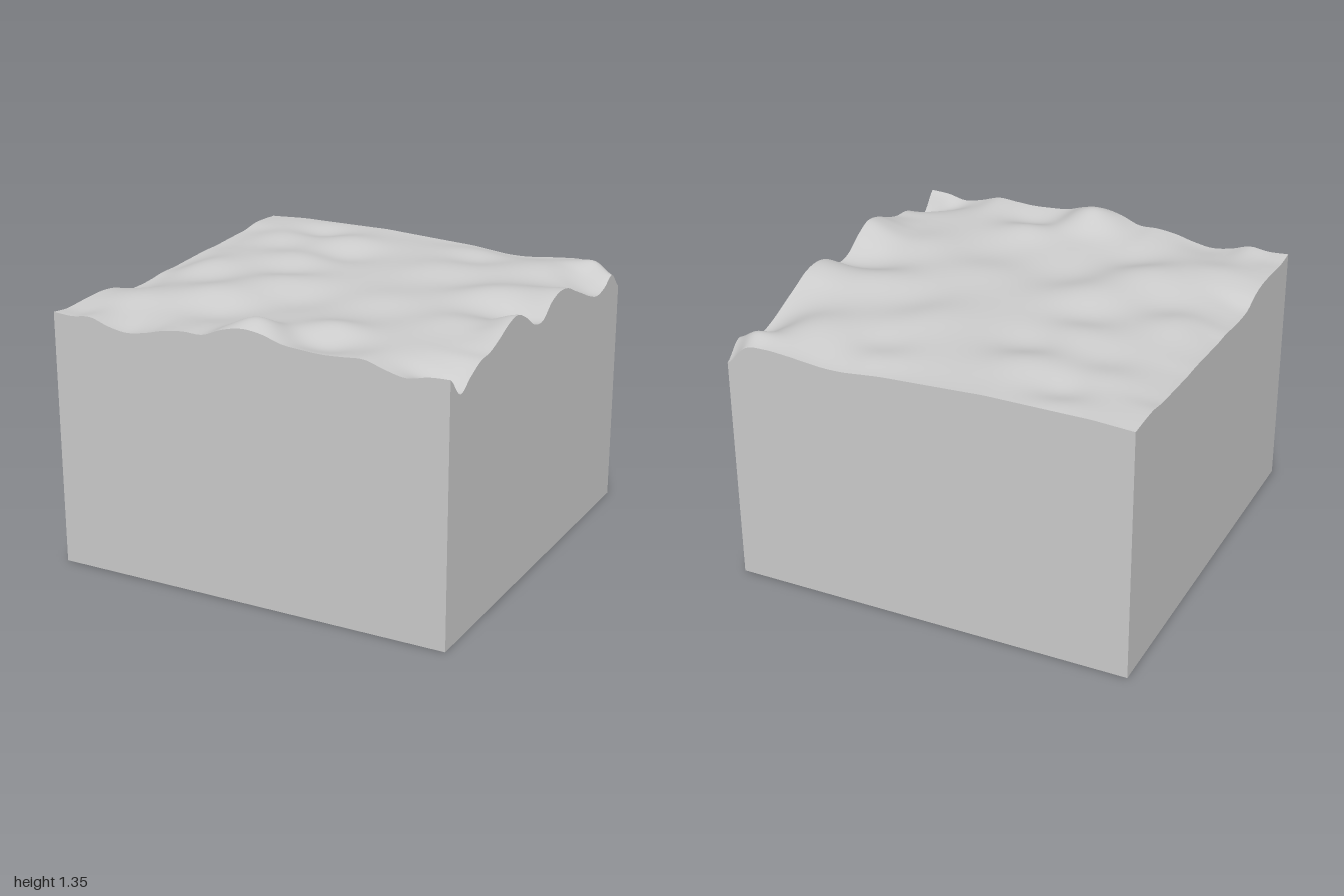
import * as THREE from 'three';

// Heights along the four top edges, every 0.1 from -1 to 1
const RIGHT = [1.13, 1.21, 1.17, 1.155, 1.18, 1.22, 1.26, 1.3, 1.31, 1.285, 1.225,
  1.235, 1.295, 1.335, 1.32, 1.28, 1.25, 1.24, 1.2, 1.155, 1.25];
const LEFT = [1.25, 1.255, 1.255, 1.24, 1.235, 1.23, 1.225, 1.225, 1.22, 1.215, 1.21,
  1.21, 1.2, 1.195, 1.2, 1.235, 1.25, 1.25, 1.245, 1.24, 1.25];
const BACK = [1.25, 1.255, 1.26, 1.26, 1.26, 1.26, 1.26, 1.26, 1.255, 1.25, 1.245,
  1.24, 1.235, 1.225, 1.215, 1.215, 1.225, 1.235, 1.24, 1.225, 1.13];
const FRONT = [1.25, 1.245, 1.255, 1.225, 1.21, 1.225, 1.25, 1.262, 1.262, 1.3, 1.32,
  1.31, 1.28, 1.27, 1.265, 1.27, 1.275, 1.245, 1.225, 1.245, 1.25];

// Slopes inside the field: x, z, downhill angle in degrees (0 = +x, 90 = +z), drop, radius
const SLOPES = [
  [-0.4, 0.54, 55, 0.07, 0.2], [-0.2, 0.22, 45, 0.06, 0.22], [0.3, 0.77, 80, 0.08, 0.16],
  [-0.4, -0.19, 80, 0.05, 0.18], [-0.3, -0.55, 70, 0.06, 0.18], [-0.6, -0.87, 75, 0.05, 0.14],
  [0.33, -0.81, 80, 0.05, 0.16], [0.74, -0.06, 60, 0.07, 0.2], [-0.75, 0.1, 50, 0.05, 0.18],
  [0.35, -0.35, 30, 0.04, 0.2], [-0.68, -0.55, 70, 0.03, 0.16], [0.78, 0.35, 20, 0.04, 0.18],
  [0.3, 0.25, 80, 0.03, 0.2], [-0.75, 0.72, 75, 0.03, 0.16], [0.75, -0.6, 70, 0.03, 0.18],
];

// Smooth curve through evenly spaced edge heights
function edgeHeight(values, t) {
  const s = (t + 1) * 10;
  const i = Math.min(19, Math.floor(s));
  const f = s - i;
  const v = (k) => values[THREE.MathUtils.clamp(k, 0, 20)];
  const [a, b, c, d] = [v(i - 1), v(i), v(i + 1), v(i + 2)];
  return b + 0.5 * f * (c - a + f * (2 * a - 5 * b + 4 * c - d + f * (3 * (b - c) + d - a)));
}

function innerHeight(x, z) {
  // Mean level plus a small crest behind the front edge
  let y = 1.262 + 0.075 * Math.exp(-(((x - 0.03) / 0.13) ** 2) - ((z - 0.9) / 0.13) ** 2);
  for (const [cx, cz, angle, drop, r] of SLOPES) {
    const dx = (x - cx) / r, dz = (z - cz) / r;
    const a = THREE.MathUtils.degToRad(angle);
    y -= drop * (dx * Math.cos(a) + dz * Math.sin(a)) * Math.exp(-dx * dx - dz * dz);
  }
  return y;
}

// Influence of an edge at distance d
const fade = (d) => (d > 1 ? 0 : Math.exp(-((d / 0.17) ** 2)));

// Inner relief pulled to the side edges, then to the front and back edges
function sideBlend(x, z) {
  return innerHeight(x, z)
    + fade(1 - x) * (edgeHeight(RIGHT, z) - innerHeight(1, z))
    + fade(1 + x) * (edgeHeight(LEFT, z) - innerHeight(-1, z));
}

function surfaceHeight(x, z) {
  return sideBlend(x, z)
    + fade(1 - z) * (edgeHeight(FRONT, x) - sideBlend(x, 1))
    + fade(1 + z) * (edgeHeight(BACK, x) - sideBlend(x, -1));
}

export function createModel() {
  const group = new THREE.Group();
  group.name = 'waterBlock';

  // Finely divided block whose upper vertices follow the rippled surface
  const geometry = new THREE.BoxGeometry(2, 1, 2, 120, 1, 120);
  const p = geometry.attributes.position;
  for (let i = 0; i < p.count; i++) {
    p.setY(i, p.getY(i) > 0 ? surfaceHeight(p.getX(i), p.getZ(i)) : 0);
  }
  geometry.computeVertexNormals();

  const block = new THREE.Mesh(geometry, new THREE.MeshStandardMaterial({ color: 0xcccccc }));
  block.name = 'rippledBlock';
  group.add(block);
  return group;
}
